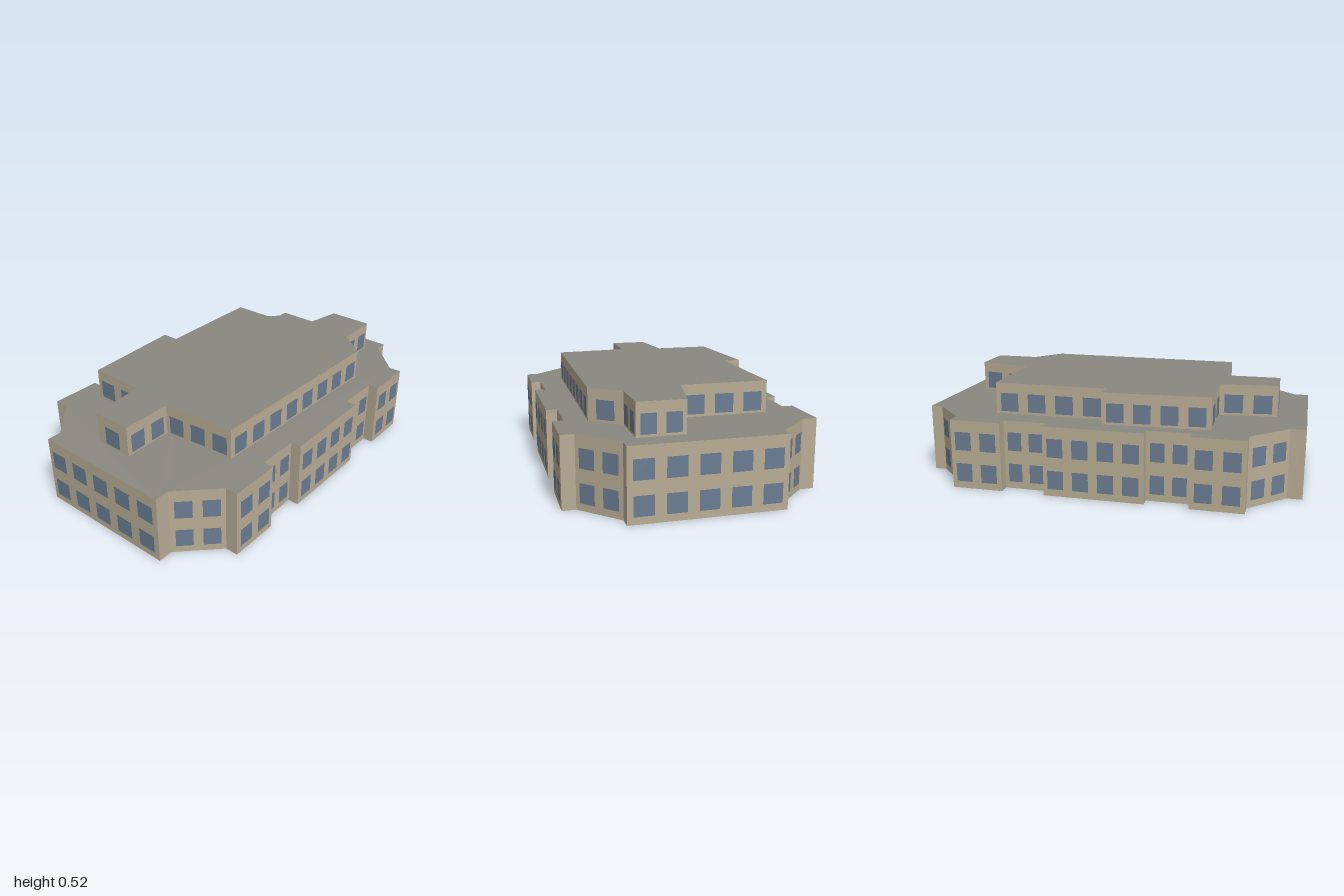
import * as THREE from 'three';
import { mergeGeometries } from 'three/addons/utils/BufferGeometryUtils.js';

// Footprints as [x, z] corners, clockwise seen from above
const LOWER = [
  [-0.378, -1], [0.38, -1], [0.38, -0.935], [0.562, -0.752], [0.63, -0.752], [0.63, -0.498],
  [0.574, -0.498], [0.574, -0.262], [0.63, -0.262], [0.63, 0.249], [0.574, 0.249], [0.574, 0.473],
  [0.628, 0.473], [0.628, 0.738], [0.562, 0.738], [0.377, 0.922], [0.377, 1], [-0.377, 1],
  [-0.377, 0.922], [-0.558, 0.738], [-0.634, 0.738], [-0.634, 0.47], [-0.574, 0.47], [-0.574, 0.246],
  [-0.628, 0.246], [-0.628, -0.27], [-0.57, -0.27], [-0.57, -0.497], [-0.626, -0.497],
  [-0.626, -0.766], [-0.552, -0.766], [-0.378, -0.937],
];
const UPPER = [
  [0.075, -0.886], [0.312, -0.886], [0.312, -0.653], [0.462, -0.532], [0.435, 0.548], [0.042, 0.58],
  [0.042, 0.847], [-0.163, 0.847], [-0.193, 0.55], [-0.494, 0.55], [-0.522, 0.007], [-0.434, 0.007],
  [-0.434, -0.59], [0.015, -0.59],
];
const WINDOW_H = 0.097;

// Upright rectangle centred at (x, z), facing (nx, nz)
function panel(x, z, nx, nz, w, y0, h) {
  return new THREE.PlaneGeometry(w, h)
    .rotateY(Math.atan2(nx, nz))
    .translate(x, y0 + h / 2, z);
}

// Walls, evenly spaced windows and a flat roof over one footprint
function block(name, pts, y0, y1, sills, mats) {
  const walls = [], panes = [];
  pts.forEach(([ax, az], i) => {
    const [bx, bz] = pts[(i + 1) % pts.length];
    const len = Math.hypot(bx - ax, bz - az);
    const nx = (bz - az) / len, nz = -(bx - ax) / len;
    walls.push(panel((ax + bx) / 2, (az + bz) / 2, nx, nz, len, y0, y1 - y0));
    if (len < 0.1) return; // short returns stay blank
    const n = Math.max(1, Math.round(len / 0.14));
    const w = Math.min(0.096, (0.64 * len) / n);
    for (let k = 0; k < n; k++) {
      const t = (k + 0.5) / n;
      const x = ax + (bx - ax) * t + nx * 0.003;
      const z = az + (bz - az) * t + nz * 0.003;
      for (const sill of sills) panes.push(panel(x, z, nx, nz, w, sill, WINDOW_H));
    }
  });

  const shape = new THREE.Shape(pts.map(([x, z]) => new THREE.Vector2(x, -z)));
  const roof = new THREE.ShapeGeometry(shape).rotateX(-Math.PI / 2).translate(0, y1, 0);

  const group = new THREE.Group();
  group.name = name;
  const add = (part, geometry, material) => {
    const mesh = new THREE.Mesh(geometry, material);
    mesh.name = part;
    group.add(mesh);
  };
  add(name + 'Walls', mergeGeometries(walls), mats.wall);
  add(name + 'Windows', mergeGeometries(panes), mats.glass);
  add(name + 'Roof', roof, mats.roof);
  return group;
}

export function createModel() {
  const material = (name, color, side = THREE.FrontSide) => {
    const m = new THREE.MeshStandardMaterial({ color, side });
    m.name = name;
    return m;
  };
  const mats = {
    wall: material('beige wall', 0xb8ac94, THREE.DoubleSide),
    glass: material('blue grey glass', 0x6a7c92),
    roof: material('grey roof', 0x8a8880, THREE.DoubleSide),
  };

  const model = new THREE.Group();
  model.name = 'building';
  // Two-storey base, open underneath, with a set-back top floor
  model.add(block('base', LOWER, 0, 0.361, [0.037, 0.204], mats));
  model.add(block('topFloor', UPPER, 0.361, 0.524, [0.374], mats));
  return model;
}
